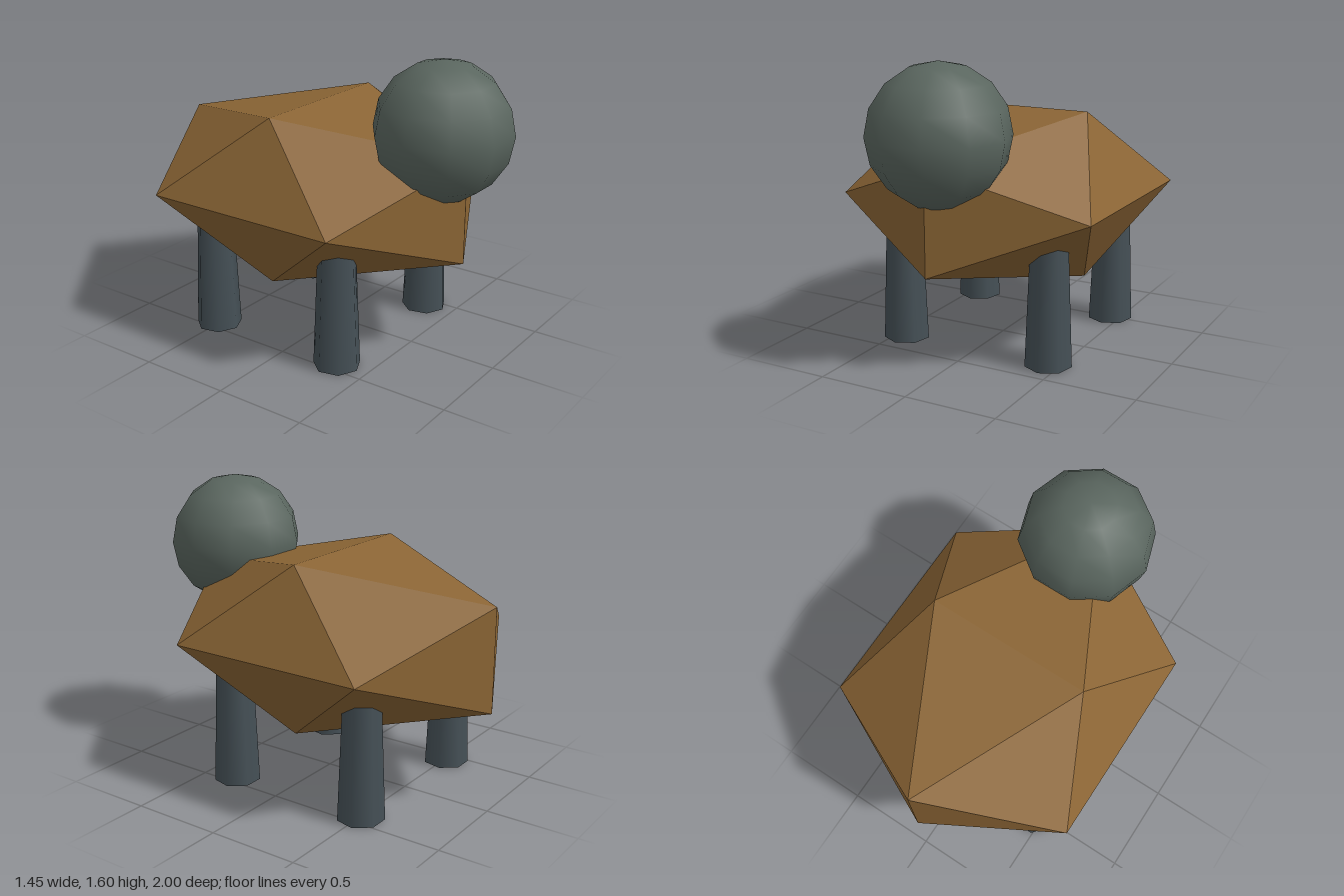
import * as THREE from 'three';

const material = (color, flatShading = false) => new THREE.MeshStandardMaterial({ color, flatShading });

export function createModel() {
  const model = new THREE.Group();
  model.name = 'animal';

  const add = (name, geometry, mat, x, y, z) => {
    const mesh = new THREE.Mesh(geometry, mat);
    mesh.name = name;
    mesh.position.set(x, y, z);
    model.add(mesh);
    return mesh;
  };

  // Faceted body: a stretched icosahedron
  const bodyGeometry = new THREE.IcosahedronGeometry(1, 0).scale(0.853, 0.532, 1.058);
  add('body', bodyGeometry, material(0x8b6535, true), 0, 0.82, -0.1);

  // Round head resting on the front of the back
  add('head', new THREE.SphereGeometry(0.365, 10, 8), material(0x5a665f), 0, 1.23, 0.653);

  // Four tapered seven-sided legs, their tops sunk into the body
  const legHeight = 0.66;
  const legGeometry = new THREE.CylinderGeometry(0.1, 0.126, legHeight, 7);
  const legMaterial = material(0x455056);
  for (const [end, z] of [['front', 0.315], ['back', -0.505]]) {
    for (const [side, x] of [['Left', 0.437], ['Right', -0.437]]) {
      add(`${end}${side}Leg`, legGeometry, legMaterial, x, legHeight / 2, z);
    }
  }

  return model;
}
